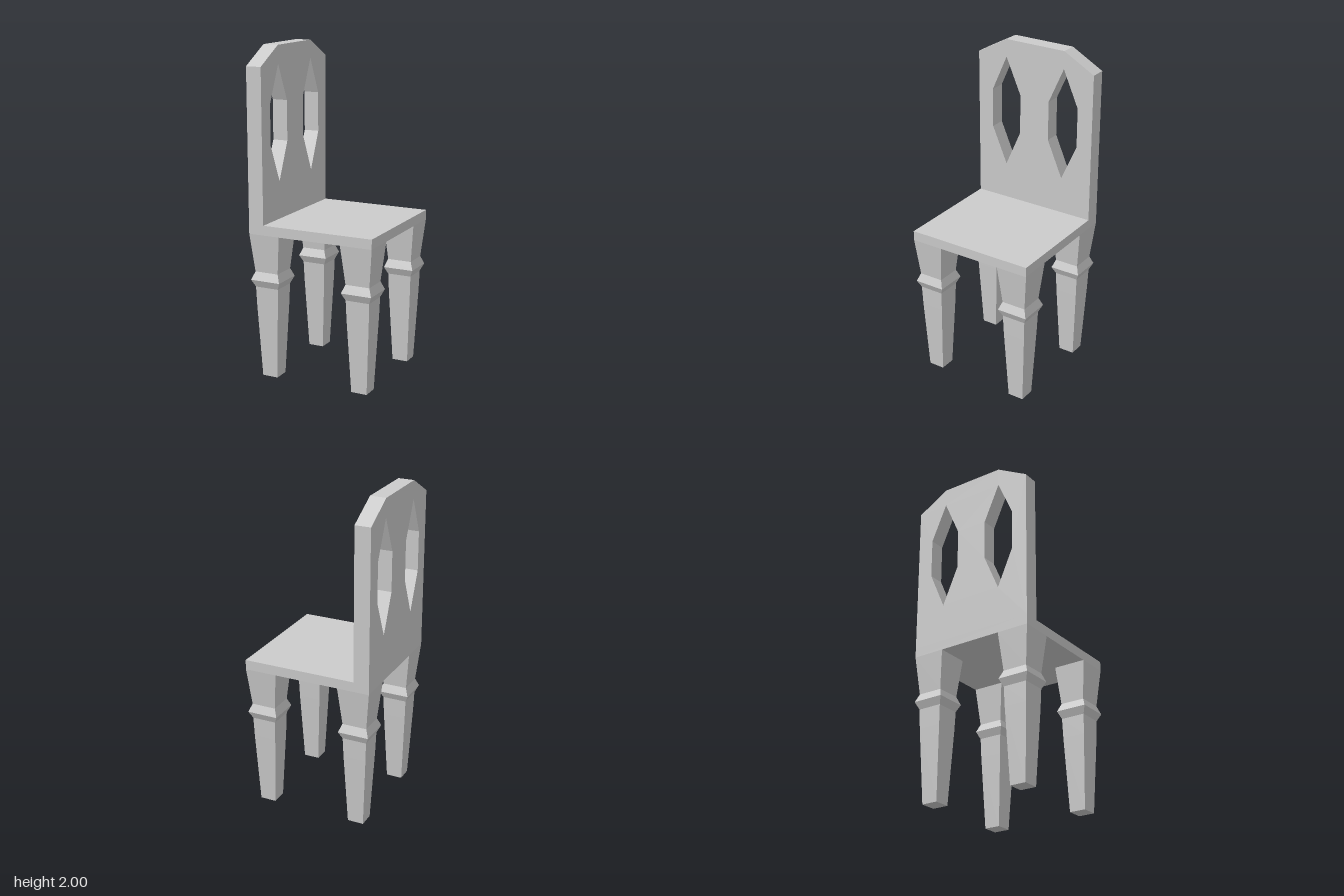
import * as THREE from 'three';

export function createModel() {
  const grey = new THREE.MeshStandardMaterial({ color: 0xcccccc, flatShading: true });
  grey.name = 'paleGrey';
  const chair = new THREE.Group();
  chair.name = 'chair';

  const add = (name, geometry, x, y, z) => {
    const mesh = new THREE.Mesh(geometry, grey);
    mesh.name = name;
    mesh.position.set(x, y, z);
    chair.add(mesh);
  };

  // Seat slab
  add('seat', new THREE.BoxGeometry(0.8, 0.06, 0.8), 0, 0.93, 0);

  // Backrest along the -x edge, with clipped top corners and two pointed openings
  const points = (list) => list.map(([u, v]) => new THREE.Vector2(u, v));
  const outline = new THREE.Shape(points([
    [-0.4, 0.96], [0.4, 0.96], [0.4, 1.89], [0.2, 2], [-0.2, 2], [-0.4, 1.89],
  ]));
  for (const c of [-0.2, 0.2]) {
    outline.holes.push(new THREE.Path(points([
      [c, 1.19], [c - 0.1, 1.42], [c - 0.1, 1.665], [c, 1.89], [c + 0.1, 1.665], [c + 0.1, 1.42],
    ])));
  }
  const back = new THREE.ExtrudeGeometry(outline, { depth: 0.097, bevelEnabled: false });
  back.rotateY(Math.PI / 2);
  add('backrest', back, -0.4, 0, 0);

  // Square turned legs: [half width, height] from foot to seat
  const profile = [
    [0, 0], [0.05, 0], [0.071, 0.45], [0.075, 0.57], [0.096, 0.615], [0.076, 0.665], [0.1, 0.9],
  ].map(([w, y]) => new THREE.Vector2(w * Math.SQRT2, y));
  const leg = new THREE.LatheGeometry(profile, 4, Math.PI / 4);
  for (const x of [-0.3, 0.3]) {
    for (const z of [-0.3, 0.3]) {
      add((x < 0 ? 'back' : 'seat') + 'Leg' + (z < 0 ? 'Far' : 'Near'), leg, x, 0, z);
    }
  }
  return chair;
}
